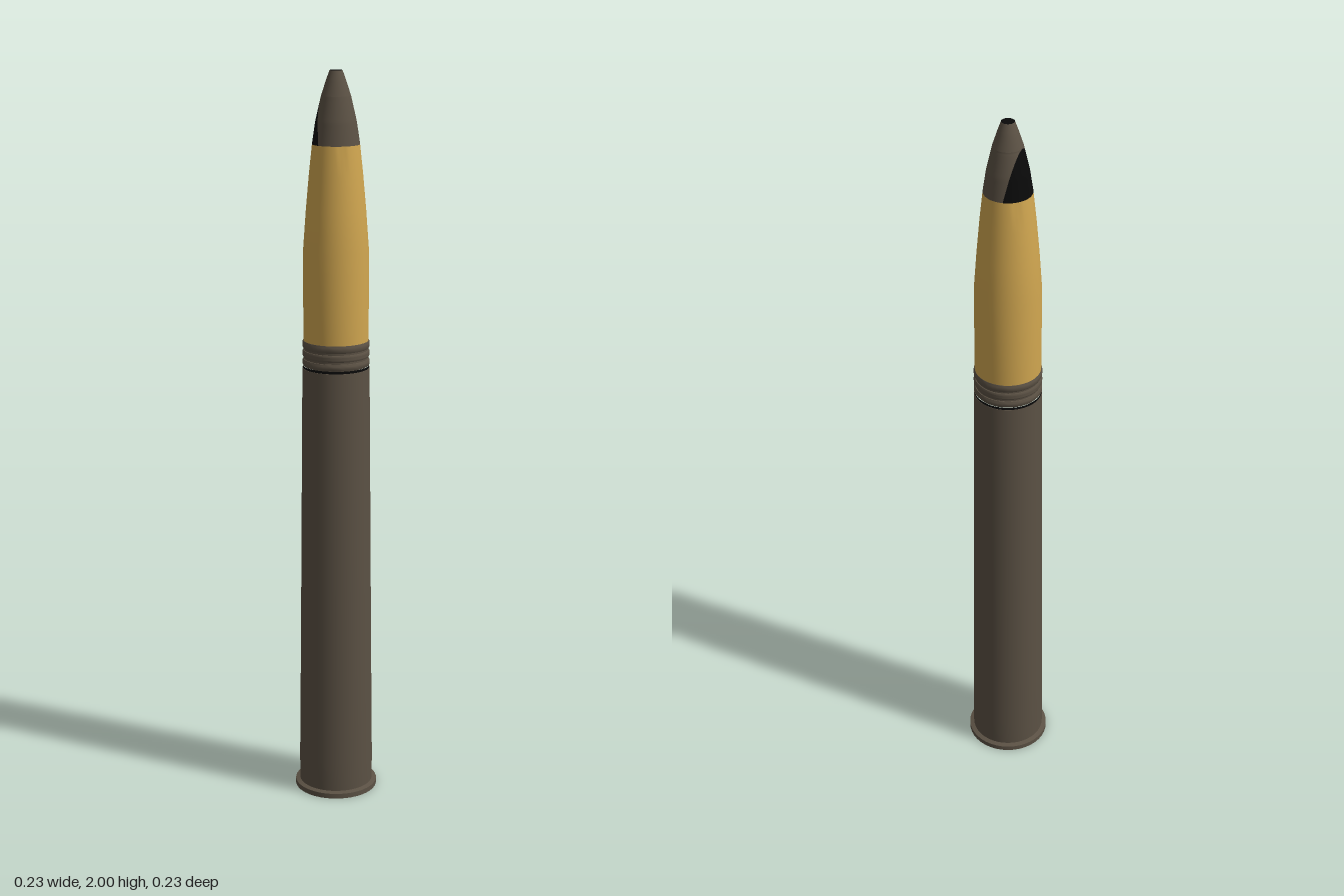
import * as THREE from 'three';
import { toCreasedNormals } from 'three/addons/utils/BufferGeometryUtils.js';

const SEGMENTS = 40;

function material(name, color) {
  const m = new THREE.MeshStandardMaterial({ color });
  m.name = name;
  return m;
}

// Turned part from [radius, height] pairs, listed from bottom to top
function turned(name, mat, profile) {
  const points = profile.map(([r, y]) => new THREE.Vector2(r, y));
  const geometry = toCreasedNormals(new THREE.LatheGeometry(points, SEGMENTS), 0.5);
  const mesh = new THREE.Mesh(geometry, mat);
  mesh.name = name;
  return mesh;
}

// Nose outline and the dark patch cut into its back left side
const NOSE_BOTTOM = 1.81, PATCH_TOP = 1.935, PATCH_CENTRE = -Math.PI * 0.75;
const noseProfile = [[1.81, 0.063], [1.87, 0.054], [1.935, 0.039], [1.975, 0.026], [2, 0.017]];

function noseRadius(y) {
  for (let i = 1; i < noseProfile.length; i++) {
    const [y0, r0] = noseProfile[i - 1], [y1, r1] = noseProfile[i];
    if (y <= y1) return r0 + (r1 - r0) * (y - y0) / (y1 - y0);
  }
  return 0.017;
}

// Half angle of the patch: a slanted plane cutting the nose
function patchAngle(y) {
  if (y >= PATCH_TOP) return 0;
  const cut = 0.016 + 0.184 * (y - NOSE_BOTTOM);
  return Math.acos(Math.min(1, cut / noseRadius(y)));
}

// Strip of the nose surface between two angles that vary with height
function noseSurface(name, mat, yLow, yHigh, from, to) {
  const geometry = new THREE.PlaneGeometry(1, 1, SEGMENTS, 24);
  const p = geometry.attributes.position;
  for (let i = 0; i < p.count; i++) {
    const y = yLow + (p.getY(i) + 0.5) * (yHigh - yLow);
    const a = PATCH_CENTRE + THREE.MathUtils.lerp(from(y), to(y), p.getX(i) + 0.5);
    const r = noseRadius(y);
    p.setXYZ(i, r * Math.sin(a), y, r * Math.cos(a));
  }
  geometry.computeVertexNormals();
  const mesh = new THREE.Mesh(geometry, mat);
  mesh.name = name;
  return mesh;
}

export function createModel() {
  const group = new THREE.Group();
  group.name = 'shell';
  const brown = material('dark bronze', 0x5b5144);
  const gold = material('gold', 0xd0a650);
  const black = material('black', 0x0a0a0a);

  // Cartridge case with its base rim
  group.add(turned('baseRim', brown, [
    [0, 0], [0.114, 0], [0.114, 0.014], [0.101, 0.018],
  ]));
  group.add(turned('case', brown, [
    [0.102, 0.015], [0.102, 0.1], [0.0985, 0.4], [0.0905, 1.214], [0.086, 1.215],
  ]));

  // Dark gap between case and projectile
  group.add(turned('gap', black, [[0.0895, 1.213], [0.0895, 1.221]]));

  // Grooved driving bands
  const bands = [[1.22, 1.24], [1.244, 1.264], [1.268, 1.29]];
  for (const [low, high] of bands) {
    group.add(turned('drivingBand', brown, [
      [0.084, low], [0.088, low + 0.001], [0.0905, low + 0.006],
      [0.0905, high - 0.006], [0.088, high - 0.001], [0.084, high],
    ]));
  }
  group.add(turned('bandCore', brown, [[0.086, 1.22], [0.086, 1.29]]));

  // Projectile body
  group.add(turned('projectile', gold, [
    [0.0875, 1.288], [0.0875, 1.53], [0.0795, 1.64], [0.0715, 1.73], [0.063, 1.81],
  ]));

  // Nose with its dark patch and flat tip
  group.add(noseSurface('nose', brown, NOSE_BOTTOM, PATCH_TOP,
    patchAngle, (y) => Math.PI * 2 - patchAngle(y)));
  group.add(noseSurface('noseTop', brown, PATCH_TOP, 2, () => 0, () => Math.PI * 2));
  group.add(noseSurface('nosePatch', black, NOSE_BOTTOM, PATCH_TOP,
    (y) => -patchAngle(y), patchAngle));
  const tip = new THREE.Mesh(new THREE.CircleGeometry(0.017, SEGMENTS), black);
  tip.name = 'tip';
  tip.rotation.x = -Math.PI / 2;
  tip.position.y = 2;
  group.add(tip);

  return group;
}
